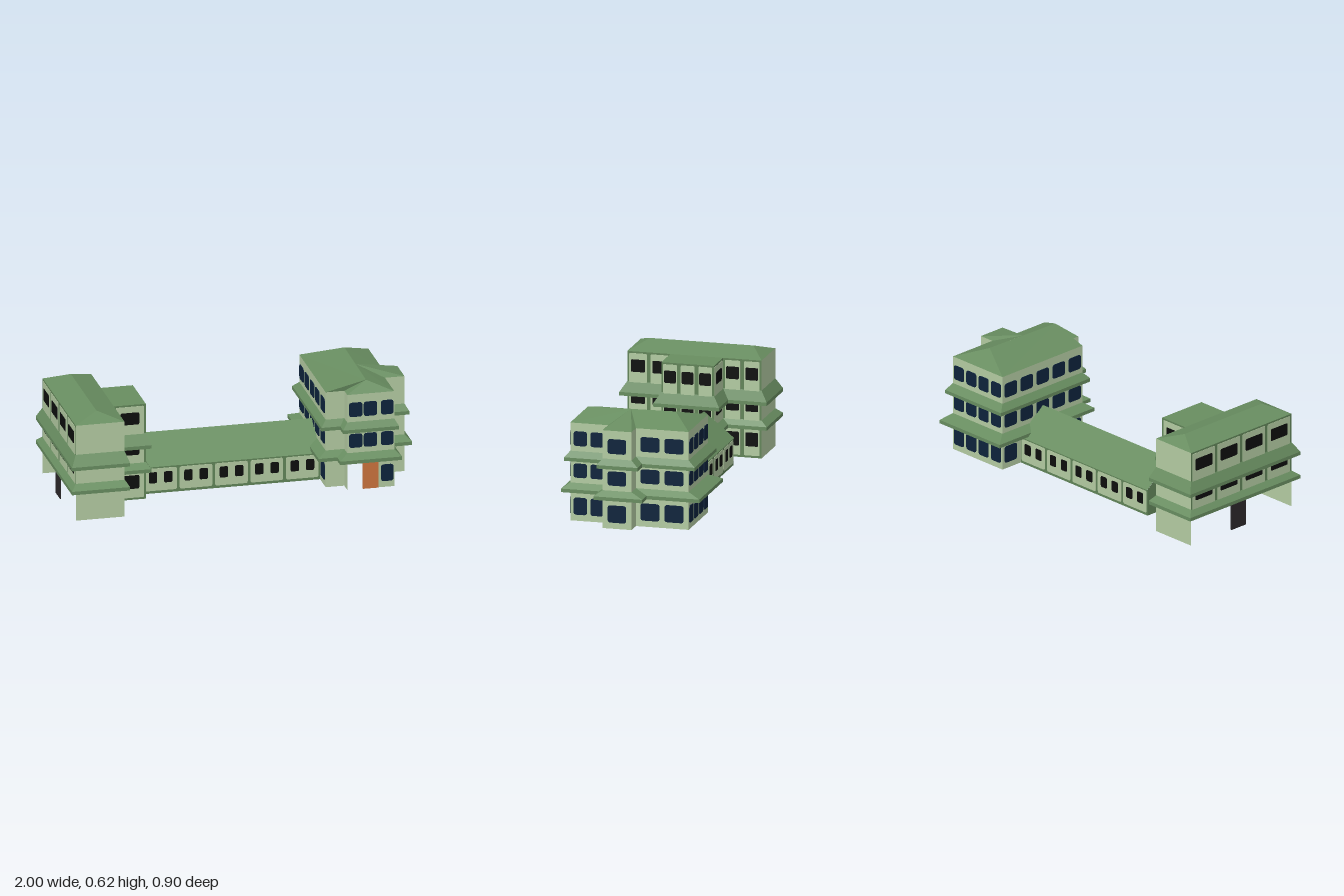
import * as THREE from 'three';

const mat = (name, color) => {
  const m = new THREE.MeshStandardMaterial({ color, side: THREE.DoubleSide });
  m.name = name;
  return m;
};

export function createModel() {
  const M = {
    wall: mat('pale green wall', 0xb3cba2),
    frame: mat('dark green frame', 0x628559),
    roof: mat('green roof', 0x688d60),
    blue: mat('navy window', 0x0d233c),
    black: mat('black window', 0x0d0e0d),
    door: mat('orange door', 0xcb733e),
    grey: mat('charcoal door', 0x2b282a),
  };
  const model = new THREE.Group();
  model.name = 'twoWingBuilding';

  // Flat faces, each a fan of corner points
  const faces = (parent, name, material, polys) => {
    const pos = [];
    for (const p of polys)
      for (let i = 1; i < p.length - 1; i++) pos.push(...p[0], ...p[i], ...p[i + 1]);
    const g = new THREE.BufferGeometry();
    g.setAttribute('position', new THREE.Float32BufferAttribute(pos, 3));
    g.computeVertexNormals();
    const mesh = new THREE.Mesh(g, material);
    mesh.name = name;
    parent.add(mesh);
  };

  // Thin rounded plate straddling a wall plane, so it shows on both sides
  const plate = (parent, name, material, x, y, w, h, thick, r) => {
    const s = new THREE.Shape(), a = w / 2, b = h / 2;
    s.moveTo(-a + r, -b);
    s.lineTo(a - r, -b); s.quadraticCurveTo(a, -b, a, -b + r);
    s.lineTo(a, b - r); s.quadraticCurveTo(a, b, a - r, b);
    s.lineTo(-a + r, b); s.quadraticCurveTo(-a, b, -a, b - r);
    s.lineTo(-a, -b + r); s.quadraticCurveTo(-a, -b, -a + r, -b);
    const g = new THREE.ExtrudeGeometry(s, { depth: thick, bevelEnabled: false, curveSegments: 4 });
    const mesh = new THREE.Mesh(g, material);
    mesh.name = name;
    mesh.position.set(x, y, -thick / 2);
    parent.add(mesh);
  };

  // Group whose +x runs along a wall from a to b and whose +z faces outward
  const wallGroup = (parent, name, a, b) => {
    const g = new THREE.Group();
    g.name = name;
    g.position.set(a[0], 0, a[1]);
    g.rotation.y = Math.atan2(-(b[1] - a[1]), b[0] - a[0]);
    parent.add(g);
    return g;
  };
  const panel = (g, x0, x1, y0, y1, material) =>
    faces(g, 'wall', material, [[[x0, y0, 0], [x1, y0, 0], [x1, y1, 0], [x0, y1, 0]]]);
  const length = (a, b) => Math.hypot(b[0] - a[0], b[1] - a[1]);
  const even = (n, len, frac) =>
    Array.from({ length: n }, (_, i) => [(i + 0.5) * len / n, frac * len / n]);

  // Push a right-angled outline out by a different amount on each side
  const offset = (poly, o) => poly.map((p, i) => {
    const q = [...p], n = poly.length;
    for (const [a, b] of [[poly[(i + n - 1) % n], p], [p, poly[(i + 1) % n]]]) {
      const dx = b[0] - a[0], dz = b[1] - a[1];
      if (Math.abs(dx) > Math.abs(dz)) q[1] = p[1] + (dx > 0 ? o.front : -o.back);
      else q[0] = p[0] + (dz < 0 ? o.right : -o.left);
    }
    return q;
  });

  // Sloping skirt roof with a short vertical lip
  const skirt = (parent, poly, o, low, lip, top) => {
    const out = offset(poly, o), polys = [];
    poly.forEach((p, i) => {
      const j = (i + 1) % poly.length, q = poly[j], a = out[i], b = out[j];
      polys.push([[a[0], lip, a[1]], [b[0], lip, b[1]], [q[0], top, q[1]], [p[0], top, p[1]]]);
      polys.push([[a[0], low, a[1]], [b[0], low, b[1]], [b[0], lip, b[1]], [a[0], lip, a[1]]]);
    });
    faces(parent, 'eaveSkirt', M.roof, polys);
  };

  const H = 0.555;
  const floors = [[0, 0.19], [0.19, 0.37], [0.37, H]];

  // ---- Left wing ----
  const left = new THREE.Group();
  left.name = 'leftWing';
  model.add(left);
  const LP = [[-0.97, 0.41], [-0.695, 0.41], [-0.695, 0.165], [-0.515, 0.165],
    [-0.515, -0.135], [-0.695, -0.135], [-0.695, -0.355], [-0.97, -0.355]];
  const leftCount = [0, 2, 1, 3, 1, 2, 0, 4];
  const leftInset = [[0.012, 0.178], [0.2, 0.36], [0.38, 0.545]];
  const leftWin = [[0.065, 0.143], [0.262, 0.328], [0.44, 0.51]];
  LP.forEach((a, i) => {
    const b = LP[(i + 1) % LP.length], len = length(a, b), n = leftCount[i];
    const g = wallGroup(left, 'leftWingWall', a, b);
    floors.forEach(([y0, y1], f) => {
      if (i === 7 && f === 0) { // open ground floor with a single door
        plate(g, 'sideDoor', M.grey, len * 0.47, 0.08, 0.11, 0.16, 0.006, 0.002);
        return;
      }
      panel(g, 0, len, y0, y1, n ? M.frame : M.wall);
      const [p0, p1] = leftInset[f], [w0, w1] = leftWin[f];
      for (const [x, w] of even(n, len, n === 1 ? 0.58 : 0.66)) {
        plate(g, 'wallPanel', M.wall, x, (p0 + p1) / 2, len / n - 0.022, p1 - p0, 0.004, 0.006);
        plate(g, 'window', M.black, x, (w0 + w1) / 2, w, w1 - w0, 0.008, 0.008);
      }
    });
  });
  const lo = { left: 0.03, right: 0.022, front: 0.04, back: 0.035 };
  skirt(left, LP, lo, 0.165, 0.185, 0.215);
  skirt(left, LP, lo, 0.305, 0.325, 0.385);
  const up = ([x, z], y = H) => [x, y, z];
  const l0 = [-0.832, 0.6, 0.32], l1 = [-0.832, 0.6, -0.27];
  faces(left, 'leftHipRoof', M.roof, [
    [up(LP[0]), up(LP[1]), l0],
    [up(LP[1]), up(LP[6]), l1, l0],
    [up(LP[6]), up(LP[7]), l1],
    [up(LP[7]), up(LP[0]), l0, l1],
    [up(LP[2]), up(LP[3]), up(LP[4]), up(LP[5])],
  ]);

  // ---- Right wing ----
  const right = new THREE.Group();
  right.name = 'rightWing';
  model.add(right);
  const RP = [[0.59, 0.295], [0.855, 0.295], [0.855, 0.08], [0.965, 0.08], [0.965, -0.085],
    [0.875, -0.085], [0.875, -0.385], [0.485, -0.385], [0.485, 0.225], [0.59, 0.225]];
  const rightWindows = [
    [[0.0475, 0.075], [0.13, 0.075], [0.225, 0.07]],
    [[0.0575, 0.075], [0.1525, 0.075]], [], [[0.0825, 0.105]], [],
    [[0.08, 0.108], [0.2175, 0.108]],
    even(4, 0.39, 0.78), even(5, 0.61, 0.75), [], [],
  ];
  const rightWin = [[0.035, 0.132], [0.245, 0.325], [0.425, 0.508]];
  RP.forEach((a, i) => {
    const b = RP[(i + 1) % RP.length], len = length(a, b);
    const g = wallGroup(right, 'rightWingWall', a, b);
    floors.forEach(([y0, y1], f) => {
      const entrance = i === 0 && f === 0;
      panel(g, entrance ? 0.172 : 0, len, y0, y1, M.wall);
      if (entrance) plate(g, 'frontDoor', M.door, 0.131, 0.085, 0.086, 0.17, 0.008, 0.001);
      rightWindows[i].forEach(([x, w], k) => {
        if (entrance && k < 2) return; // open porch and door
        if (i === 7 && f === 0 && k > 0 && k < 4) return; // corridor joins here
        const [w0, w1] = rightWin[f];
        plate(g, 'window', M.blue, x, (w0 + w1) / 2, w, w1 - w0, 0.008, 0.016);
      });
    });
  });
  skirt(right, RP, { left: 0.05, right: 0.033, front: 0.043, back: 0.07 }, 0.165, 0.185, 0.215);
  skirt(right, RP, { left: 0.03, right: 0.02, front: 0.03, back: 0.04 }, 0.34, 0.36, 0.395);
  const A = [0.71, 0.621, -0.265], B = [0.71, 0.613, 0.235], C = [0.71, 0.617, -0.01];
  const R = RP.map((p) => up(p));
  faces(right, 'rightHipRoof', M.roof, [
    [R[0], R[1], B], [R[1], R[2], C, B], [R[2], R[3], C], [R[3], R[4], C], [R[4], R[5], C],
    [R[5], R[6], A, C], [R[6], R[7], A], [R[7], R[8], B, A], [R[8], R[9], B], [R[9], R[0], B],
  ]);

  // ---- Connecting corridor ----
  const hall = new THREE.Group();
  hall.name = 'corridor';
  model.add(hall);
  const x0 = -0.515, x1 = 0.485, zf = 0.095, zb = -0.245, e = 0.155;
  for (const [a, b] of [[[x0, zf], [x1, zf]], [[x1, zb], [x0, zb]]]) {
    const g = wallGroup(hall, 'corridorWall', a, b);
    panel(g, 0, 1, 0, e, M.frame);
    for (let i = 0; i < 5; i++) {
      const x = 0.1 + i * 0.2;
      plate(g, 'wallPanel', M.wall, x, 0.08, 0.184, 0.13, 0.004, 0.012);
      for (const s of [-1, 1])
        plate(g, 'window', M.black, x + s * 0.043, 0.092, 0.047, 0.064, 0.008, 0.01);
    }
  }
  faces(hall, 'corridorRoof', M.roof, [
    [[x0, e, 0.1], [x1, e, 0.1], [x1, 0.295, -0.08], [x0, 0.295, -0.08]],
    [[x1, e, -0.25], [x0, e, -0.25], [x0, 0.295, -0.08], [x1, 0.295, -0.08]],
  ]);
  faces(hall, 'corridorEnd', M.frame, [
    [[x0 + 0.002, 0, zb], [x0 + 0.002, 0, zf], [x0 + 0.002, e, zf],
      [x0 + 0.002, 0.293, -0.08], [x0 + 0.002, e, zb]],
  ]);
  return model;
}
